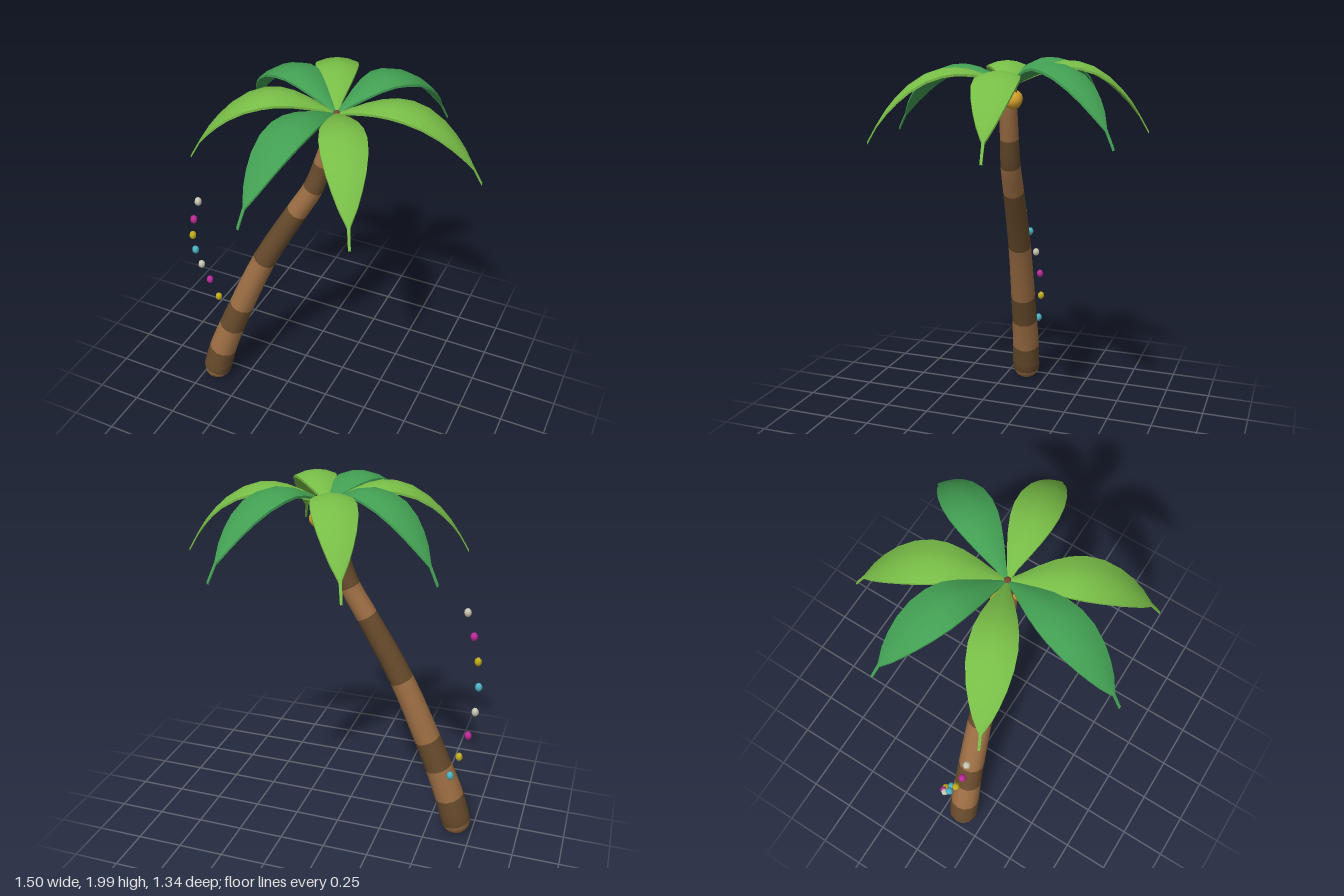
import * as THREE from 'three';
import { mergeGeometries } from 'three/addons/utils/BufferGeometryUtils.js';

const mat = (name, color, side = THREE.FrontSide) => {
  const m = new THREE.MeshStandardMaterial({ color, side });
  m.name = name;
  return m;
};
const V = (x, y, z) => new THREE.Vector3(x, y, z);

// Surface through rows of equal length; rowMaterial picks a material index per strip
function loft(rows, closed, rowMaterial = () => 0) {
  const n = rows[0].length;
  const geo = new THREE.BufferGeometry().setFromPoints(rows.flat());
  const index = [];
  for (let i = 0; i < rows.length - 1; i++) {
    const start = index.length;
    for (let j = 0; j < (closed ? n : n - 1); j++) {
      const a = i * n + j, b = i * n + (j + 1) % n;
      index.push(a, b, b + n, a, b + n, a + n);
    }
    geo.addGroup(start, index.length - start, rowMaterial(i));
  }
  geo.setIndex(index);
  geo.computeVertexNormals();
  return geo;
}

// Leaning banded trunk with a rounded foot
function makeTrunk(materials) {
  // x, y, z, radius at each change of band
  const stations = [
    [-0.662, 0.08, 0.117, 0.083], [-0.617, 0.245, 0.106, 0.081], [-0.55, 0.43, 0.092, 0.075],
    [-0.483, 0.6, 0.08, 0.071], [-0.337, 0.945, 0.053, 0.064], [-0.148, 1.295, 0.024, 0.056],
    [-0.062, 1.45, 0.011, 0.053], [-0.012, 1.6, 0, 0.049], [0.038, 1.78, -0.013, 0.045],
    [0.047, 1.865, -0.02, 0.04],
  ];
  const curve = new THREE.CatmullRomCurve3(stations.map(s => V(s[0], s[1], s[2])));
  const rows = [], bands = [], sides = 12, steps = 3, last = stations.length - 1;

  const addRing = (center, t, r) => {
    const v = t.clone().cross(V(1, 0, 0)).normalize();
    const u = v.clone().cross(t);
    rows.push(Array.from({ length: sides }, (_, k) => {
      const a = (k / sides) * Math.PI * 2;
      return center.clone().addScaledVector(u, r * Math.cos(a)).addScaledVector(v, r * Math.sin(a));
    }));
  };

  const foot = curve.getPoint(0), down = curve.getTangent(0);
  for (const [d, r] of [[0.075, 0.001], [0.068, 0.035], [0.04, 0.067]]) {
    addRing(foot.clone().addScaledVector(down, -d), down, r);
    bands.push(0);
  }
  for (let i = 0; i <= last * steps; i++) {
    const s = Math.min(Math.floor(i / steps), last - 1), f = i / steps - s;
    const t = i / (last * steps);
    addRing(curve.getPoint(t), curve.getTangent(t),
      THREE.MathUtils.lerp(stations[s][3], stations[s + 1][3], f));
    bands.push(s % 2 === 0 ? 1 : 0);
  }
  addRing(curve.getPoint(1), curve.getTangent(1), 0.001);
  return new THREE.Mesh(loft(rows, true, i => bands[i]), materials);
}

// Arching frond along +x: distance, height, half width
const FROND = [
  [0, 1.872, 0.008], [0.06, 1.902, 0.026], [0.13, 1.932, 0.055], [0.2, 1.954, 0.08],
  [0.27, 1.964, 0.098], [0.34, 1.959, 0.107], [0.42, 1.933, 0.104], [0.5, 1.882, 0.088],
  [0.56, 1.826, 0.067], [0.61, 1.767, 0.043], [0.645, 1.715, 0.018], [0.66, 1.692, 0.007],
  [0.708, 1.61, 0.006],
];
function makeFrond(lift, material) {
  const thick = 0.012;
  const top = FROND.map(([r, y, w]) => [1, 0.5, 0, -0.5, -1].map(s =>
    V(r, y + lift * Math.min(1, r / 0.25) - s * s * w * 0.25, s * w)));
  const lower = p => V(p.x, p.y - thick, p.z);
  const underside = top.map(row => row.map(lower).reverse());
  const frontEdge = top.map(row => [lower(row[0]), row[0]]);
  const backEdge = top.map(row => [row[4], lower(row[4])]);
  const geo = mergeGeometries([top, underside, frontEdge, backEdge].map(rows => loft(rows, false)));
  return new THREE.Mesh(geo, material);
}

export function createModel() {
  const group = new THREE.Group();
  const lightBark = mat('light bark', 0x9f7045);
  const darkBark = mat('dark bark', 0x694c2d);
  const lightLeaf = mat('light leaf', 0x78bd47, THREE.DoubleSide);
  const darkLeaf = mat('dark leaf', 0x429f52, THREE.DoubleSide);
  const nut = mat('coconut', 0xd6a02c);
  const bulbMats = [mat('white bulb', 0xccc8b4), mat('magenta bulb', 0xbf2a9b),
    mat('yellow bulb', 0xc4ae1e), mat('cyan bulb', 0x4db6c8)];
  const add = (mesh, name) => { mesh.name = name; group.add(mesh); return mesh; };

  add(makeTrunk([lightBark, darkBark]), 'trunk');

  // Crown knob between the frond roots
  const knob = add(new THREE.Mesh(new THREE.SphereGeometry(0.021, 8, 6), mat('crown knob', 0x774832)), 'crownKnob');
  knob.position.set(0.047, 1.868, -0.021);

  // Fronds: heading in degrees (from +x towards +z), lift, dark or not
  const fronds = [[-9.5, 0, 0], [-60, 0.035, 1], [-114, 0.03, 0], [-153, 0.035, 1],
    [158, 0.015, 0], [102.8, 0.005, 1], [60.9, 0, 0]];
  fronds.forEach(([deg, lift, dark], i) => {
    const frond = add(makeFrond(lift, dark ? darkLeaf : lightLeaf), `frond${i + 1}`);
    frond.position.set(0.046, 0, -0.022);
    frond.rotation.y = -THREE.MathUtils.degToRad(deg);
  });

  // Three coconuts around the trunk top
  const nutGeo = new THREE.SphereGeometry(0.043, 16, 12);
  for (let i = 0; i < 3; i++) {
    const a = THREE.MathUtils.degToRad(74 + 120 * i);
    add(new THREE.Mesh(nutGeo, nut), `coconut${i + 1}`)
      .position.set(0.044 + 0.057 * Math.cos(a), 1.802, -0.013 + 0.057 * Math.sin(a));
  }

  // Spiral string of small bulbs
  const bulbGeo = new THREE.SphereGeometry(0.02, 6, 6).scale(1, 1.2, 1);
  for (let i = 0; i < 9; i++) {
    const a = THREE.MathUtils.degToRad(82 + 29 * i);
    add(new THREE.Mesh(bulbGeo, bulbMats[i % 4]), `bulb${i + 1}`)
      .position.set(-0.65 + 0.083 * Math.cos(a), 1.31 - 0.127 * i, 0.105 + 0.079 * Math.sin(a));
  }
  return group;
}
